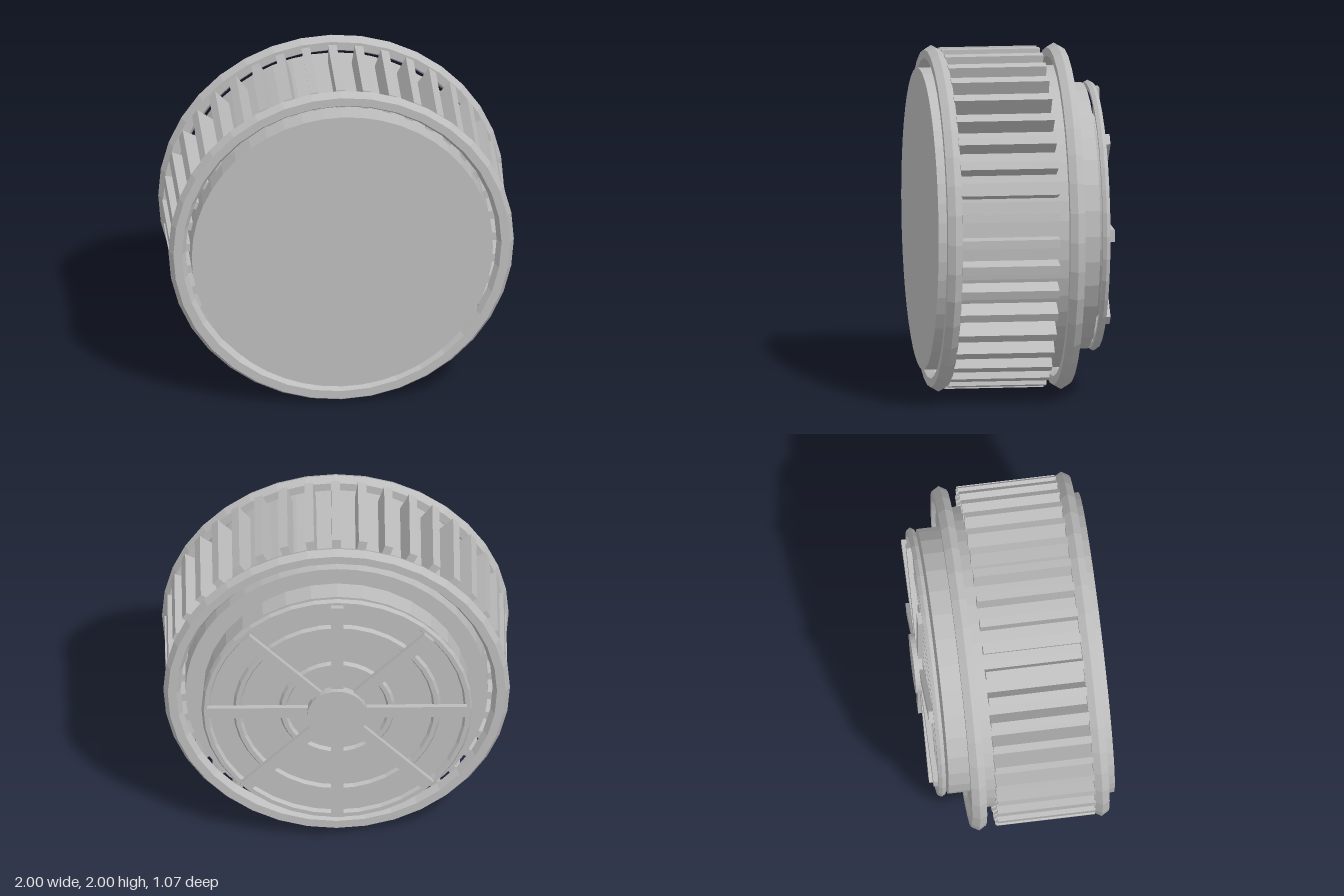
import * as THREE from 'three';

export function createModel() {
  const model = new THREE.Group();
  const grey = new THREE.MeshStandardMaterial({ color: 0xbcbcbc, flatShading: true });

  // All parts share one axis along z, at height 1
  const add = (name, geometry, z, parent = model) => {
    const mesh = new THREE.Mesh(geometry, grey);
    mesh.name = name;
    mesh.position.z = z;
    parent.add(mesh);
    return mesh;
  };
  // Closed disc between two depths
  const disc = (name, radius, front, back, sides) =>
    add(name, new THREE.CylinderGeometry(radius, radius, front - back, sides).rotateX(Math.PI / 2), (front + back) / 2);
  // Ring with a six-sided section
  const ring = (name, radius, tube, z) =>
    add(name, new THREE.TorusGeometry(radius, tube, 6, 36), z);

  // Body
  disc('drum', 0.872, 0.533, -0.29, 48);
  disc('neck', 0.77, -0.25, -0.42, 32);

  // Outer rims
  ring('frontRim', 0.95, 0.05, 0.447);
  ring('backRim', 0.95, 0.05, -0.265);

  // Cooling fins around the drum
  const fins = new THREE.Group();
  fins.name = 'fins';
  model.add(fins);
  const finGeometry = new THREE.BoxGeometry(0.135, 0.05, 0.57).translate(0.918, 0, 0);
  for (let i = 0; i < 40; i++) {
    add('fin', finGeometry, 0.123, fins).rotation.z = (i / 40) * Math.PI * 2;
  }

  // Rear guard: concentric rings, spokes and hub
  ring('guardOuterRing', 0.757, 0.025, -0.457);
  ring('guardMiddleRing', 0.575, 0.025, -0.457);
  ring('guardInnerRing', 0.31, 0.025, -0.457);
  const spokes = new THREE.Group();
  spokes.name = 'guardSpokes';
  model.add(spokes);
  const spokeGeometry = new THREE.BoxGeometry(0.75, 0.072, 0.03).translate(0.375, 0, 0);
  for (let i = 0; i < 8; i++) {
    add('spoke', spokeGeometry, -0.491, spokes).rotation.z = (i / 8) * Math.PI * 2;
  }
  disc('hub', 0.173, -0.485, -0.535, 32);

  model.children.forEach((part) => { part.position.y = 1; });
  return model;
}
